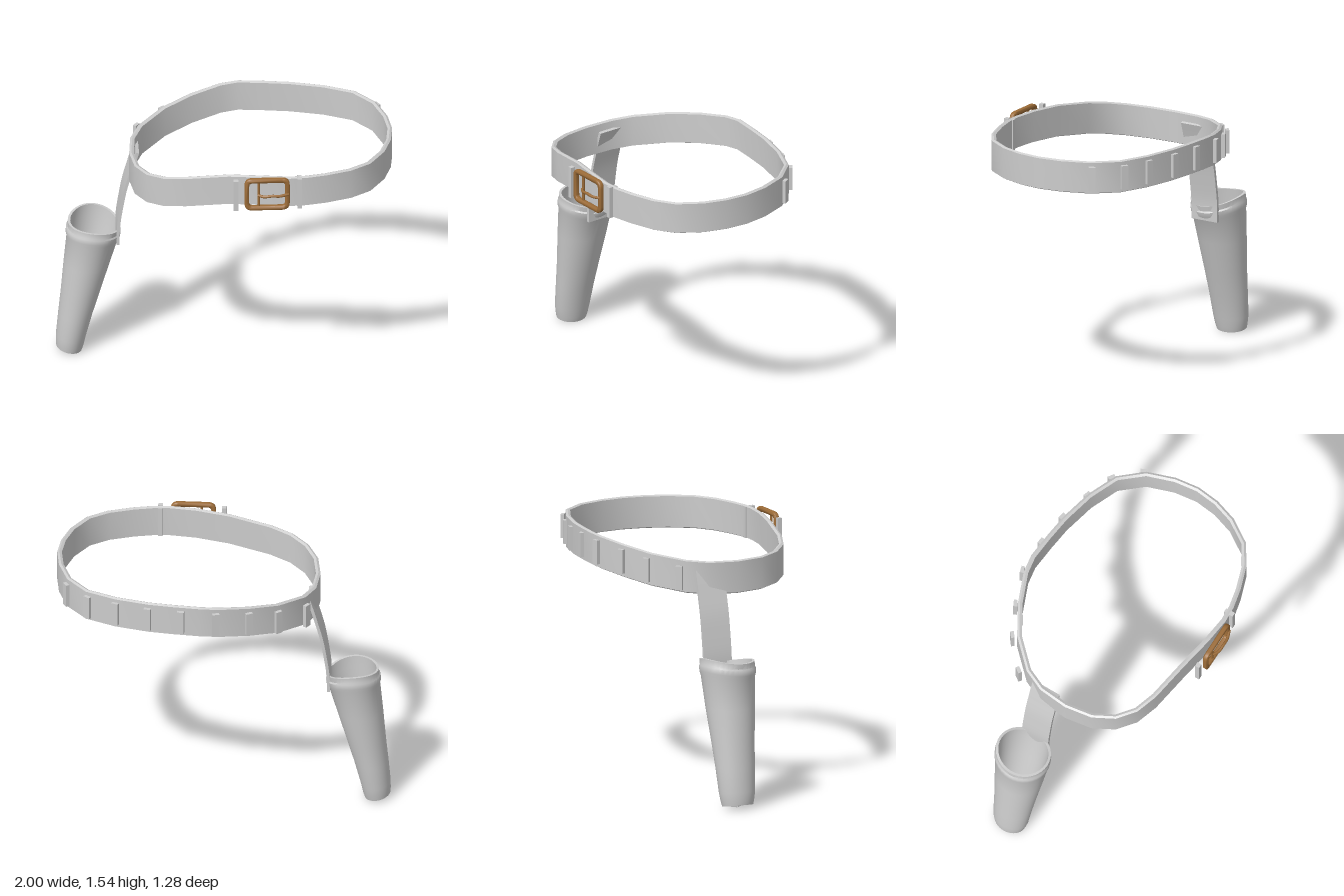
import * as THREE from 'three';
import { toCreasedNormals } from 'three/addons/utils/BufferGeometryUtils.js';

const leather = new THREE.MeshStandardMaterial({ color: 0xcccccc });
leather.name = 'pale leather';
const brass = new THREE.MeshStandardMaterial({ color: 0x9c6c38 });
brass.name = 'brass';

// Skin through rings of points; each ring is closed, the row of rings optionally so
function loft(rings, closed, crease = 0.7) {
  const n = rings.length, m = rings[0].length, idx = [];
  for (let i = 0; i < (closed ? n : n - 1); i++) {
    for (let j = 0; j < m; j++) {
      const a = i * m + j, b = i * m + (j + 1) % m;
      const k = ((i + 1) % n) * m, c = k + (j + 1) % m, d = k + j;
      idx.push(a, b, c, a, c, d);
    }
  }
  const g = new THREE.BufferGeometry().setFromPoints(rings.flat());
  g.setIndex(idx);
  return toCreasedNormals(g, crease);
}

// Belt outline seen from above (x, z)
const outline = [
  [0.11, -0.625], [0.27, -0.61], [0.42, -0.59], [0.62, -0.54], [0.8, -0.46], [0.92, -0.32],
  [0.98, -0.15], [1, 0], [0.985, 0.14], [0.94, 0.28], [0.85, 0.42], [0.73, 0.5], [0.58, 0.55],
  [0.46, 0.575], [0.36, 0.58], [0.2, 0.56], [0, 0.52], [-0.25, 0.47], [-0.38, 0.42],
  [-0.48, 0.33], [-0.545, 0.2], [-0.57, 0.03], [-0.555, -0.15], [-0.5, -0.28], [-0.35, -0.44],
  [-0.18, -0.54], [0, -0.61],
];
// The belt sags toward the holster side
const drop = (x) => 0.11 * Math.pow(Math.max(0, (0.1 - x) / 0.67), 1.3);

function outward(i) {
  const n = outline.length, p = outline[(i + n - 1) % n], q = outline[(i + 1) % n];
  return new THREE.Vector2(q[1] - p[1], p[0] - q[0]).normalize();
}
function outwardNear(x, z) {
  let best = 0, dist = Infinity;
  outline.forEach(([a, b], i) => {
    const d = Math.hypot(a - x, b - z);
    if (d < dist) { dist = d; best = i; }
  });
  return outward(best);
}

function beltGeometry() {
  const section = [[0, 0.007], [0, 0.193], [-0.013, 0.2], [-0.028, 0.193], [-0.028, 0.007], [-0.013, 0]];
  return loft(outline.map(([x, z], i) => {
    const n = outward(i);
    return section.map(([o, h]) => new THREE.Vector3(x + n.x * o, 1.34 - drop(x) + h, z + n.y * o));
  }), true);
}

// Holster cup: [height, centre x, radius x, radius z]
function holsterGeometry() {
  const outer = [
    [0.02, -0.92, 0.001, 0.001], [0.02, -0.92, 0.077, 0.096], [0.05, -0.916, 0.083, 0.103],
    [0.1, -0.91, 0.088, 0.112], [0.25, -0.883, 0.102, 0.121], [0.4, -0.853, 0.117, 0.132],
    [0.6, -0.815, 0.138, 0.15], [0.78, -0.782, 0.153, 0.164], [0.8, -0.779, 0.162, 0.17],
    [0.83, -0.775, 0.163, 0.171], [0.84, -0.774, 0.156, 0.166], [0.872, -0.77, 0.158, 0.167],
  ];
  const inner = [
    [0.872, -0.77, 0.143, 0.152], [0.8, -0.78, 0.141, 0.15], [0.6, -0.815, 0.124, 0.136],
    [0.25, -0.883, 0.09, 0.109], [0.045, -0.917, 0.07, 0.09], [0.045, -0.917, 0.001, 0.001],
  ];
  const sides = 36;
  return loft([...outer, ...inner].map(([y, cx, rx, rz]) => {
    const wave = THREE.MathUtils.smoothstep(y, 0.6, 0.872); // uneven rim
    return Array.from({ length: sides }, (_, j) => {
      const a = -j / sides * Math.PI * 2, c = Math.cos(a), s = Math.sin(a);
      const foot = -0.015 * c * (1 - Math.min(1, y / 0.3));
      const lift = wave * (-0.017 * c - 0.015 * s + 0.012 * Math.cos(2 * a + Math.PI));
      return new THREE.Vector3(cx + rx * c, y + foot + lift, -0.137 + rz * s);
    });
  }), false, 0.6);
}

// Hanging strap: curved side profile given a width
function strapGeometry() {
  const curve = new THREE.CatmullRomCurve3([
    [-0.632, 0.755], [-0.63, 0.87], [-0.612, 1.0], [-0.59, 1.12], [-0.56, 1.23], [-0.537, 1.31], [-0.515, 1.38],
  ].map(([x, y]) => new THREE.Vector3(x, y, 0)));
  const left = [], right = [];
  for (let i = 0; i <= 20; i++) {
    const p = curve.getPoint(i / 20), t = curve.getTangent(i / 20);
    left.push(new THREE.Vector2(p.x - t.y * 0.009, p.y + t.x * 0.009));
    right.unshift(new THREE.Vector2(p.x + t.y * 0.009, p.y - t.x * 0.009));
  }
  const g = new THREE.ExtrudeGeometry(new THREE.Shape([...left, ...right]), { depth: 0.182, bevelEnabled: false });
  g.translate(0, 0, -0.226);
  return toCreasedNormals(g, 0.6);
}

function roundedRect(path, w, h, r) {
  const x = w / 2, y = h / 2;
  path.moveTo(-x + r, -y);
  path.lineTo(x - r, -y).quadraticCurveTo(x, -y, x, -y + r);
  path.lineTo(x, y - r).quadraticCurveTo(x, y, x - r, y);
  path.lineTo(-x + r, y).quadraticCurveTo(-x, y, -x, y - r);
  path.lineTo(-x, -y + r).quadraticCurveTo(-x, -y, -x + r, -y);
  return path;
}

function buckleFrameGeometry() {
  const shape = roundedRect(new THREE.Shape(), 0.256, 0.198, 0.04);
  shape.holes.push(roundedRect(new THREE.Path(), 0.228, 0.17, 0.028));
  const g = new THREE.ExtrudeGeometry(shape, {
    depth: 0.014, bevelThickness: 0.008, bevelSize: 0.007, bevelSegments: 3, curveSegments: 6,
  });
  g.translate(0.225, 1.445, 0.593);
  return toCreasedNormals(g, 0.9);
}

export function createModel() {
  const model = new THREE.Group();
  const add = (name, geometry, material = leather) => {
    const mesh = new THREE.Mesh(geometry, material);
    mesh.name = name;
    model.add(mesh);
    return mesh;
  };

  add('belt', beltGeometry());
  add('holster', holsterGeometry());
  add('holsterStrap', strapGeometry());

  // Row of loops around the back
  const loops = [
    [-0.51, -0.33], [-0.35, -0.473], [-0.18, -0.557], [0.015, -0.628], [0.225, -0.627],
    [0.425, -0.603], [0.62, -0.548], [0.79, -0.482], [0.925, -0.34],
  ];
  for (const [x, z] of loops) {
    const n = outwardNear(x, z);
    const loop = add('backLoop', new THREE.BoxGeometry(0.042, 0.145, 0.022));
    loop.position.set(x, 1.44 - drop(x), z);
    loop.rotation.y = Math.atan2(n.x, n.y);
  }

  // Keepers on either side of the buckle
  for (const [x, y] of [[0.04, 1.433], [0.42, 1.44]]) {
    add('frontKeeper', new THREE.BoxGeometry(0.028, 0.198, 0.028)).position.set(x, y, 0.587);
  }
  add('beltEnd', new THREE.BoxGeometry(0.025, 0.19, 0.012)).position.set(0.42, 1.44, 0.546);

  // Buckle
  add('buckleFrame', buckleFrameGeometry(), brass);
  add('buckleBar', new THREE.CylinderGeometry(0.008, 0.008, 0.19, 10), brass).position.set(0.175, 1.445, 0.6);
  const tongue = new THREE.CatmullRomCurve3([
    [0.172, 1.44, 0.607], [0.205, 1.44, 0.627], [0.255, 1.446, 0.631], [0.3, 1.443, 0.629], [0.352, 1.446, 0.612],
  ].map((p) => new THREE.Vector3(...p)));
  add('buckleTongue', new THREE.TubeGeometry(tongue, 20, 0.009, 8), brass);

  return model;
}
